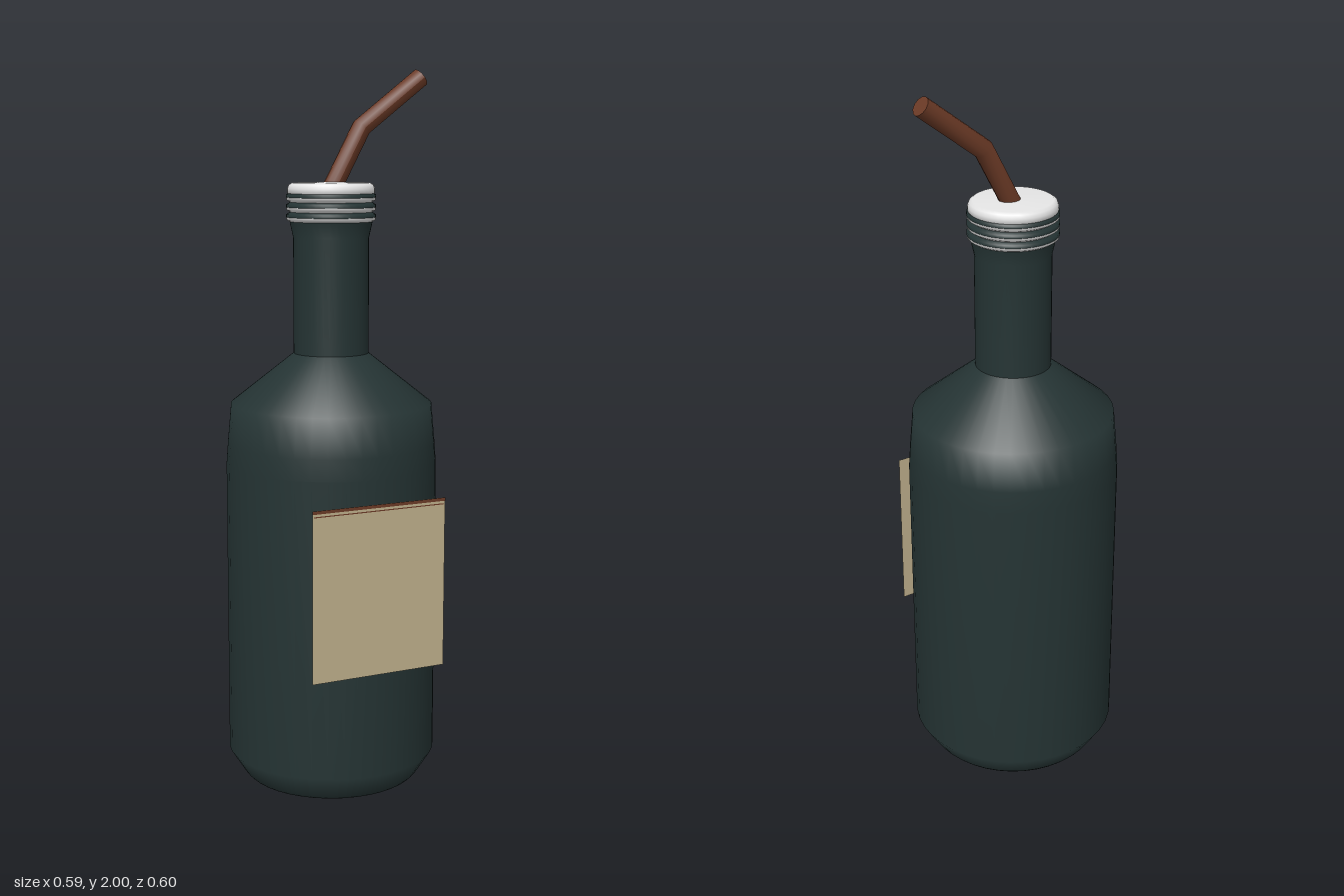
import * as THREE from 'three';

const mat = (name, color) => {
  const m = new THREE.MeshStandardMaterial({ color });
  m.name = name;
  return m;
};

export function createModel() {
  const group = new THREE.Group();
  const glass = mat('dark green glass', 0x253434);
  const white = mat('white cap', 0xe6e6e6);
  const brown = mat('brown straw', 0x6b3a26);
  const paper = mat('tan paper', 0xbfb08c);
  const bottle = new THREE.Group();
  bottle.name = 'bottle';
  bottle.position.z = -0.0035;
  group.add(bottle);

  const add = (parent, name, geometry, material) => {
    const mesh = new THREE.Mesh(geometry, material);
    mesh.name = name;
    parent.add(mesh);
    return mesh;
  };
  // Profiles run from bottom to top as [radius, height]
  const lathe = (name, points, material) => add(bottle, name,
    new THREE.LatheGeometry(points.map(([r, y]) => new THREE.Vector2(r, y)), 40), material);

  // Glass body and neck, with a crease where they meet
  lathe('body', [[0, 0], [0.245, 0], [0.255, 0.01], [0.2965, 0.075], [0.2965, 0.91],
    [0.292, 0.97], [0.282, 1.08], [0.105, 1.22]], glass);
  lathe('neck', [[0.105, 1.22], [0.105, 1.54], [0.115, 1.585]], glass);

  // Ribbed collar: each ridge is dark above and white below
  for (const [i, y] of [1.595, 1.622, 1.649].entries()) {
    lathe('ridgeLower' + i, [[0.113, y - 0.012], [0.123, y - 0.006], [0.124, y + 0.001]], white);
    lathe('ridgeUpper' + i, [[0.124, y + 0.001], [0.124, y + 0.009], [0.113, y + 0.015]], glass);
  }
  lathe('cap', [[0.113, 1.655], [0.121, 1.662], [0.121, 1.674], [0.117, 1.684],
    [0.108, 1.69], [0, 1.692]], white);

  // Bent straw: a cylinder whose three rings follow a mitred path
  const centres = [[0, 1.67], [0.093, 1.84], [0.277, 1.978]].map(p => new THREE.Vector2(...p));
  const d0 = centres[1].clone().sub(centres[0]).normalize();
  const d1 = centres[2].clone().sub(centres[1]).normalize();
  const mid = d0.clone().add(d1).normalize();
  const directions = [d0, mid.clone().divideScalar(mid.dot(d0)), d1];
  const straw = new THREE.CylinderGeometry(0.027, 0.027, 2, 12, 2);
  const pos = straw.attributes.position;
  for (let i = 0; i < pos.count; i++) {
    const ring = Math.round(pos.getY(i) + 1);
    const x = pos.getX(i), c = centres[ring], d = directions[ring];
    pos.setXY(i, c.x + x * d.y, c.y - x * d.x);
  }
  straw.computeVertexNormals();
  add(bottle, 'straw', straw, brown);

  // Flat front label with thin brown lines near its top edge
  const labelPaper = paper;
  labelPaper.side = THREE.DoubleSide;
  add(group, 'label', new THREE.PlaneGeometry(0.4, 0.475), labelPaper).position.set(0, 0.6075, 0.298);
  add(group, 'labelTopLine', new THREE.PlaneGeometry(0.4, 0.009), brown).position.set(0, 0.8405, 0.2995);
  add(group, 'labelThinLine', new THREE.PlaneGeometry(0.39, 0.003), brown).position.set(0, 0.828, 0.2995);

  return group;
}
